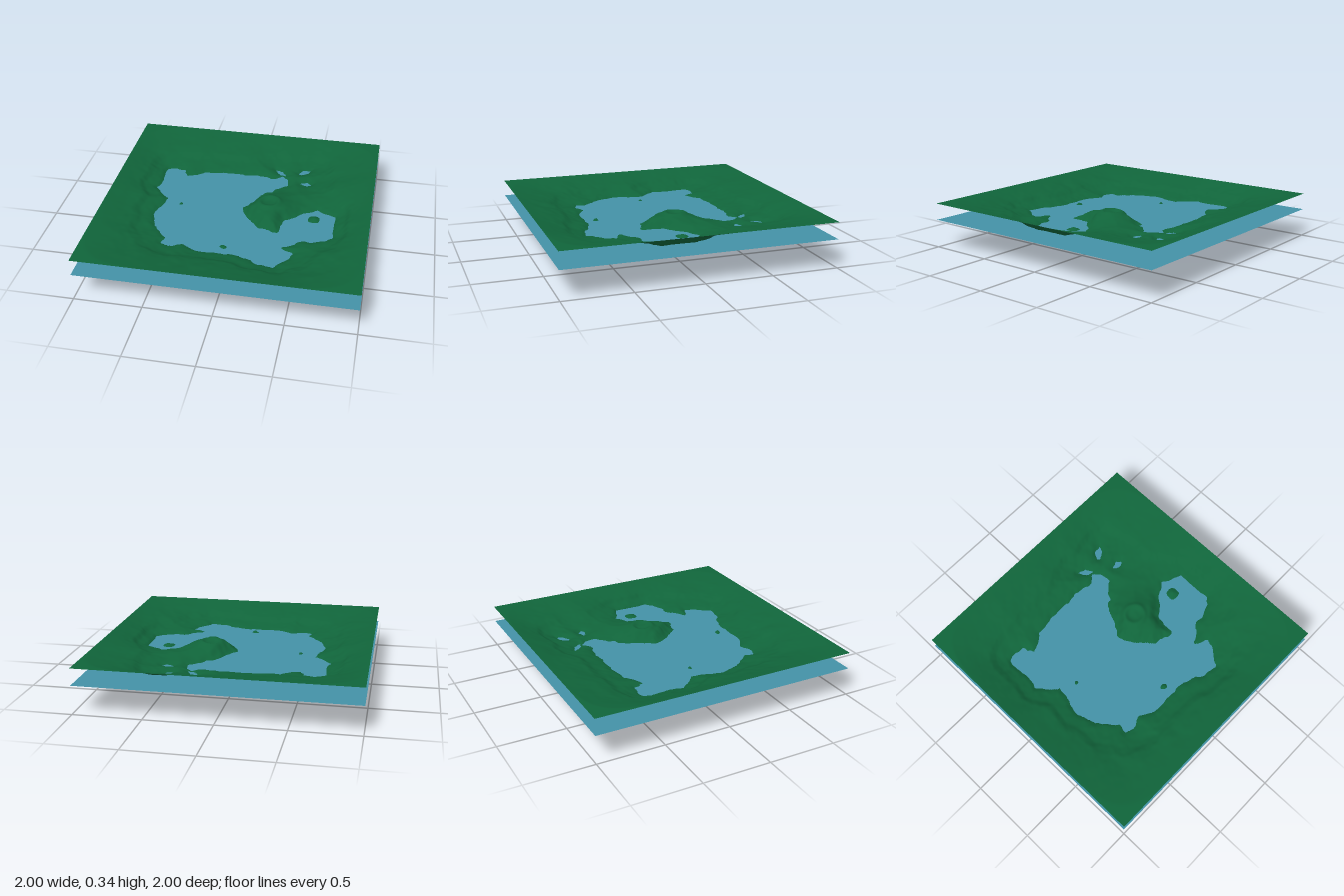
import * as THREE from 'three';

const WATER_Y = 0.225, RIM_Y = 0.35, SEGMENTS = 190;

// Shorelines as x, z pairs
const lake = [
  -.69, -.5, -.62, -.52, -.55, -.5, -.51, -.42, -.44, -.45, -.38, -.49, -.22, -.52, -.05, -.52, .08, -.53,
  .2, -.5, .26, -.55, .3, -.5, .31, -.42, .25, -.38, .2, -.31, .14, -.27, .08, -.15, .02, -.05, .02, 0,
  .08, .09, .13, .14, .17, .2, .25, .22, .33, .24, .35, .2, .34, .14, .36, .07, .44, 0, .5, -.06, .59, -.11,
  .66, -.07, .74, -.04, .73, .1, .74, .22, .7, .27, .6, .31, .52, .3, .45, .37, .37, .41, .42, .45, .48, .47,
  .44, .55, .36, .65, .26, .64, .18, .59, .07, .56, -.1, .56, -.22, .56, -.32, .5, -.42, .55, -.48, .52,
  -.47, .45, -.55, .36, -.59, .28, -.63, .17, -.6, .05, -.57, -.08, -.64, -.12, -.7, -.2, -.68, -.32, -.7, -.42,
];
const ponds = [
  [.18, -.65, .25, -.62, .28, -.57, .22, -.58],
  [.37, -.62, .42, -.67, .47, -.68, .45, -.63, .4, -.6],
  [.41, -.47, .46, -.5, .5, -.47, .47, -.45],
];

// Deepest lake bed along x and along z, and the bank rising from shore to rim
const floorX = [[-.85, .29], [-.7, .25], [-.6, .18], [-.5, .12], [-.4, .09], [-.35, .05], [-.23, .04],
  [-.17, 0], [-.1, .05], [0, .13], [.2, .17], [.55, .16], [.7, .2], [.8, .26]];
const floorZ = [[-.72, .24], [-.65, .21], [-.5, .21], [-.45, .17], [-.38, .13], [-.3, .09], [-.27, .05],
  [-.2, .04], [-.11, 0], [-.05, .06], [0, .1], [.06, .06], [.25, .06], [.3, .1], [.5, .15], [.6, .2], [.75, .26]];
const bank = [[0, 0], [.08, .12], [.3, .3], [.42, .52], [.75, .8], [1, 1]];
const islets = [[.58, .01, .045], [-.03, .48, .024], [-.46, -.01, .016]];

function sample(profile, v) {
  if (v <= profile[0][0]) return profile[0][1];
  for (let i = 1; i < profile.length; i++) {
    const [a, ya] = profile[i - 1], [b, yb] = profile[i];
    if (v <= b) return ya + (yb - ya) * (v - a) / (b - a);
  }
  return profile[profile.length - 1][1];
}

// Smooth repeatable noise in -1..1
function hash(i, j) {
  const s = Math.sin(i * 127.1 + j * 311.7) * 43758.5453;
  return (s - Math.floor(s)) * 2 - 1;
}
function noise(x, z) {
  const i = Math.floor(x), j = Math.floor(z);
  const u = THREE.MathUtils.smoothstep(x - i, 0, 1), v = THREE.MathUtils.smoothstep(z - j, 0, 1);
  const { lerp } = THREE.MathUtils;
  return lerp(lerp(hash(i, j), hash(i + 1, j), u), lerp(hash(i, j + 1), hash(i + 1, j + 1), u), v);
}
const rough = (x, z, f) => (noise(x * f, z * f) + 0.5 * noise(x * f * 2 + 7, z * f * 2 + 3)) / 1.5;

// Distance to an outline: positive on land, negative in water
function shoreDistance(p, x, z) {
  let best = Infinity, inside = false;
  for (let i = 0, j = p.length - 2; i < p.length; j = i, i += 2) {
    const ax = p[j], az = p[j + 1], dx = p[i] - ax, dz = p[i + 1] - az;
    const t = THREE.MathUtils.clamp(((x - ax) * dx + (z - az) * dz) / (dx * dx + dz * dz), 0, 1);
    best = Math.min(best, Math.hypot(x - ax - t * dx, z - az - t * dz));
    if ((az > z) !== (p[i + 1] > z) && x < ax + dx * (z - az) / dz) inside = !inside;
  }
  return inside ? -best : best;
}

function heightAt(x, z) {
  const rim = 1 - Math.pow(Math.abs(x) ** 6 + Math.abs(z) ** 6, 1 / 6);
  if (rim <= 0.001) return RIM_Y;
  // A small warp frays the shoreline
  const wx = x + 0.012 * rough(x, z, 24), wz = z + 0.012 * rough(x + 5, z + 9, 24);
  const d = Math.min(...[lake, ...ponds].map(p => shoreDistance(p, wx, wz)));
  let y;
  if (d < 0) {
    // Craggy lake bed
    const deep = Math.min(1, -d / 0.06);
    y = WATER_Y + d * 1.05;
    y = Math.max(y, sample(floorX, x), sample(floorZ, z));
    y = Math.min(y, WATER_Y - Math.min(0.012, -d * 0.5));
    y = Math.max(0, y + deep * 0.016 * rough(x, z, 22));
    for (const [ix, iz, r] of islets) {
      const k = Math.hypot(wx - ix, wz - iz) / r;
      if (k < 2) y = Math.max(y, WATER_Y + 0.02 * (1 - k));
    }
  } else {
    // Stepped bank up to the rim
    const t = THREE.MathUtils.clamp(d / (d + rim) + 0.06 * rough(x, z, 7) * Math.min(1, d / 0.1) * Math.min(1, rim / 0.2), 0, 1);
    y = WATER_Y + (RIM_Y - WATER_Y) * sample(bank, t);
    y += 0.005 * rough(x, z, 13) * Math.min(1, d / 0.05) * Math.min(1, rim / 0.25);
    // Raised headland with a ring-shaped crest
    const r = Math.hypot(x - 0.21, z + 0.03);
    y += 0.045 * THREE.MathUtils.smoothstep(d, 0, 0.09) * (1 - THREE.MathUtils.smoothstep(r, 0.1, 0.32));
    y += 0.016 * Math.exp(-(((Math.hypot(x - 0.22, z + 0.06) - 0.075) / 0.022) ** 2));
    y = Math.min(y, RIM_Y);
  }
  return y;
}

export function createModel() {
  const green = new THREE.MeshStandardMaterial({ color: 0x10643a, side: THREE.DoubleSide });
  green.name = 'grass green';
  const blue = new THREE.MeshStandardMaterial({ color: 0x4491a6, side: THREE.DoubleSide });
  blue.name = 'water blue';

  // Terrain basin
  const land = new THREE.PlaneGeometry(2, 2, SEGMENTS, SEGMENTS).rotateX(-Math.PI / 2);
  const pos = land.attributes.position;
  for (let i = 0; i < pos.count; i++) pos.setY(i, heightAt(pos.getX(i), pos.getZ(i)));
  land.computeVertexNormals();
  const terrain = new THREE.Mesh(land, green);
  terrain.name = 'terrain';

  // Flat water sheet
  const water = new THREE.Mesh(new THREE.PlaneGeometry(2, 2).rotateX(-Math.PI / 2), blue);
  water.name = 'waterSurface';
  water.position.y = WATER_Y;

  const model = new THREE.Group();
  model.name = 'lakeLandscape';
  model.add(terrain, water);
  return model;
}
